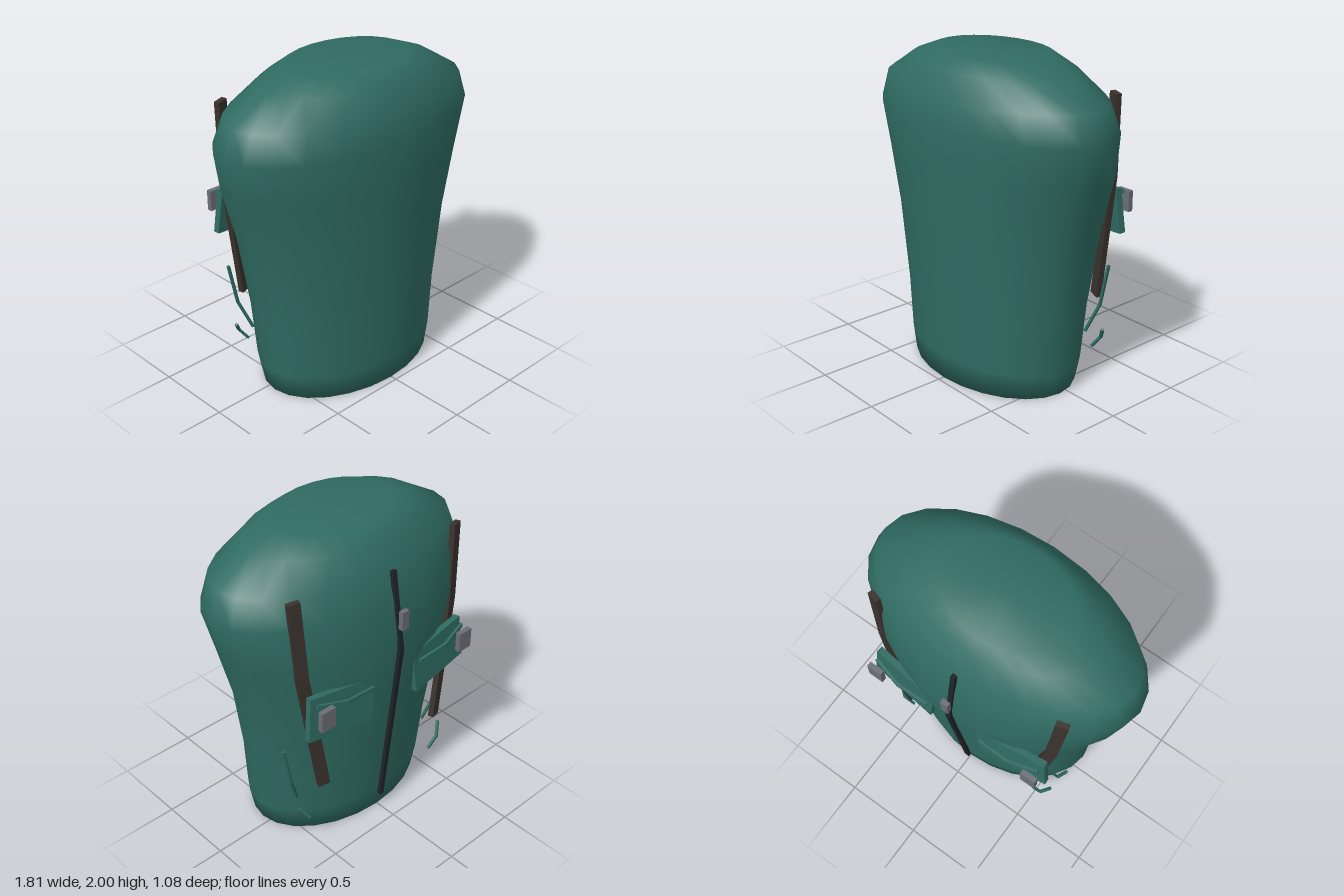
import * as THREE from 'three';

const V = (x, y, z) => new THREE.Vector3(x, y, z);
const paint = (color, flatShading = false) => new THREE.MeshStandardMaterial({ color, flatShading });
const green = paint(0x2f6b62);
const greenFlat = paint(0x2f6b62, true);
const brown = paint(0x3a322d, true);
const dark = paint(0x202426, true);
const grey = paint(0x6b6e75);

// Skin a list of rings (each counterclockwise about the travel direction) and cap both ends
function loft(rings) {
  const n = rings[0].length, pos = [], idx = [];
  rings.forEach(r => r.forEach(p => pos.push(p.x, p.y, p.z)));
  for (let i = 0; i < rings.length - 1; i++) {
    for (let j = 0; j < n; j++) {
      const a = i * n + j, b = i * n + (j + 1) % n;
      idx.push(a, b, a + n, b, b + n, a + n);
    }
  }
  [0, rings.length - 1].forEach((i, end) => {
    const c = rings[i].reduce((s, p) => s.add(p), V(0, 0, 0)).divideScalar(n);
    const k = pos.length / 3;
    pos.push(c.x, c.y, c.z);
    for (let j = 0; j < n; j++) {
      const a = i * n + j, b = i * n + (j + 1) % n;
      end ? idx.push(k, a, b) : idx.push(k, b, a);
    }
  });
  const g = new THREE.BufferGeometry();
  g.setAttribute('position', new THREE.Float32BufferAttribute(pos, 3));
  g.setIndex(idx);
  g.computeVertexNormals();
  return g;
}

// Rectangular band along a path; side is the direction of its width
function band(points, side, width, thick) {
  const rings = points.map((p, i) => {
    const t = points[Math.min(i + 1, points.length - 1)].clone()
      .sub(points[Math.max(i - 1, 0)]).normalize();
    const s = side.clone().addScaledVector(t, -side.dot(t)).normalize();
    const n = t.clone().cross(s);
    return [[1, 1], [-1, 1], [-1, -1], [1, -1]].map(([a, b]) =>
      p.clone().addScaledVector(s, a * width / 2).addScaledVector(n, b * thick / 2));
  });
  return loft(rings);
}

export function createModel() {
  const model = new THREE.Group();
  const add = (name, geometry, material) => {
    const m = new THREE.Mesh(geometry, material);
    m.name = name;
    model.add(m);
    return m;
  };

  // Pack body: elliptical sections [y, half width, front z, back z]
  const sections = [
    [0, 0.61, 0.46, -0.35], [0.16, 0.645, 0.47, -0.37], [0.5, 0.665, 0.485, -0.41],
    [1.0, 0.74, 0.51, -0.468], [1.36, 0.84, 0.528, -0.498], [1.62, 0.905, 0.54, -0.455],
    [1.79, 0.84, 0.51, -0.405], [1.93, 0.6, 0.43, -0.315], [2.0, 0.41, 0.35, -0.24],
  ];
  add('body', loft(sections.map(([y, w, f, b]) => Array.from({ length: 24 }, (_, j) => {
    const a = j / 24 * Math.PI * 2;
    return V(w * Math.cos(a), y, (f + b) / 2 - (f - b) / 2 * Math.sin(a));
  }))), green);

  // Centre seam down the back and its buckle
  add('backSeam', band([V(0, 1.79, -0.43), V(0, 1.3, -0.51), V(0, 0.11, -0.38)],
    V(1, 0, 0), 0.03, 0.025), dark);
  add('centreBuckle', new THREE.BoxGeometry(0.05, 0.12, 0.03), grey)
    .position.set(0, 1.51, -0.525);

  // Parts on both sides
  for (const [label, s] of [['left', 1], ['right', -1]]) {
    const path = pts => pts.map(([x, y, z]) => V(s * x, y, z));

    add(label + 'ShoulderStrap', band(
      path([[0.63, 1.8, -0.315], [0.6, 1.3, -0.338], [0.475, 0.48, -0.368]]),
      V(s, 0, 0.3), 0.075, 0.035), brown);

    add(label + 'HipPad', band(
      path([[0.17, 1.015, -0.45], [0.62, 1.06, -0.405]]),
      V(0, 1, 0.07), 0.28, 0.04), greenFlat);

    add(label + 'HipStrap', band(
      path([[0.19, 1.11, -0.49], [0.4, 1.13, -0.498], [0.59, 1.165, -0.452]]),
      V(0, 1, 0), 0.025, 0.016), greenFlat);

    add(label + 'HipBuckle', new THREE.BoxGeometry(0.1, 0.13, 0.033), grey)
      .position.set(s * 0.56, 1.095, -0.5);

    add(label + 'SideCord', band(
      path([[0.68, 0.77, -0.255], [0.625, 0.5, -0.25], [0.55, 0.31, -0.205]]),
      V(0, 0, 1), 0.016, 0.016), greenFlat);

    add(label + 'LowerCord', band(
      path([[0.61, 0.31, -0.295], [0.56, 0.23, -0.335], [0.5, 0.15, -0.32]]),
      V(0, 0, 1), 0.018, 0.016), greenFlat);
  }
  return model;
}
